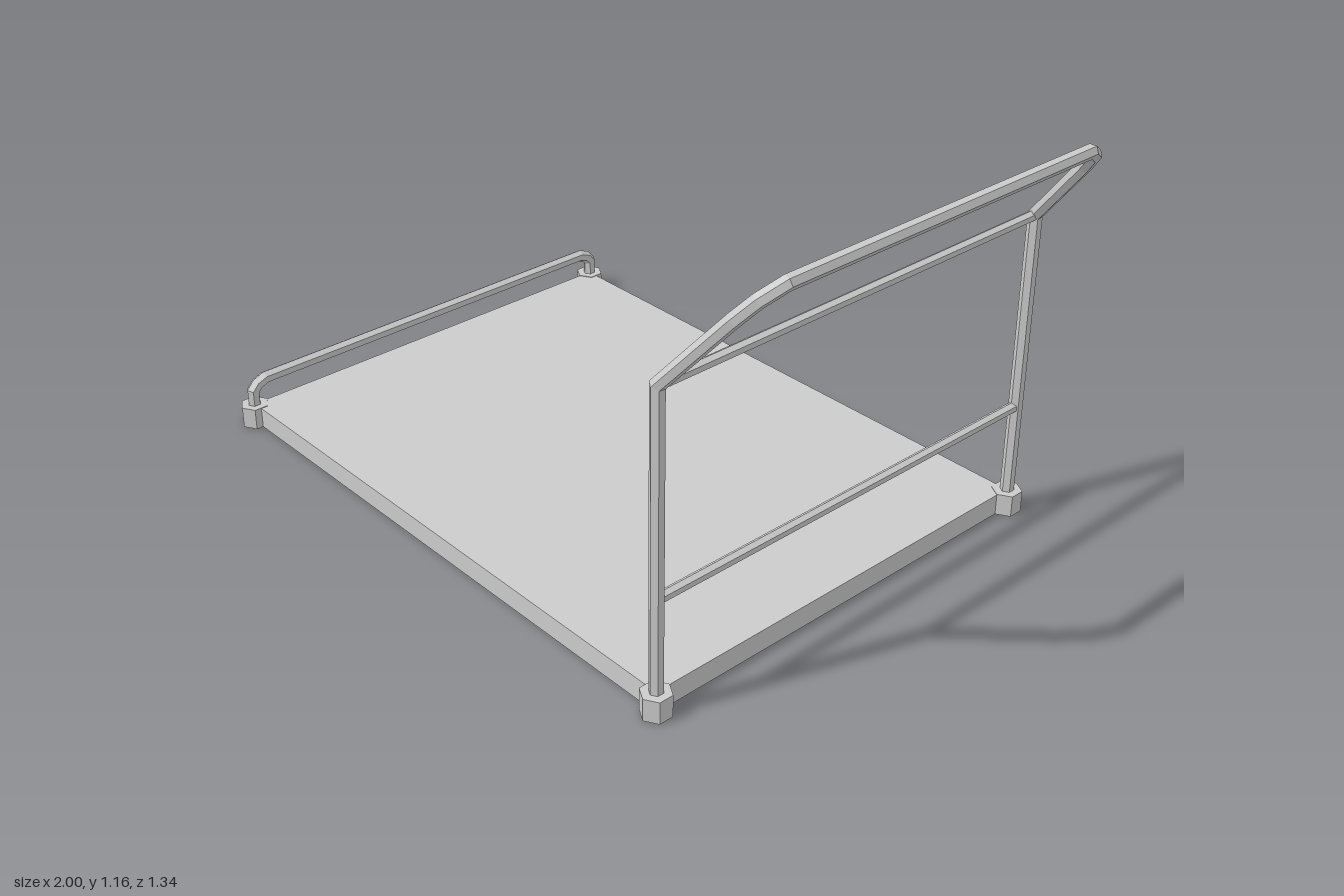
import * as THREE from 'three';

const material = new THREE.MeshStandardMaterial({ color: 0xcccccc, flatShading: true });
const SIDES = 6, REAR_X = 0.748, FRONT_X = -0.964, POST_Z = 0.627;

// Hexagonal tube along a polyline with mitred joints and closed ends.
function mitredTube(path, radius, u, v) {
  const pts = path.map((p) => new THREE.Vector3(...p));
  const dirs = pts.slice(1).map((p, i) => p.clone().sub(pts[i]).normalize());
  const pos = [], index = [];
  let ring = Array.from({ length: SIDES }, (_, k) => {
    const a = (k / SIDES) * Math.PI * 2;
    return pts[0].clone().addScaledVector(u, radius * Math.cos(a)).addScaledVector(v, radius * Math.sin(a));
  });
  pts.forEach((p, i) => {
    if (i > 0) {
      // slide the ring along the segment onto the mitre plane
      const d = dirs[i - 1];
      const n = d.clone().add(dirs[i] || d).normalize();
      ring = ring.map((q) => q.clone().addScaledVector(d, p.clone().sub(q).dot(n) / d.dot(n)));
    }
    ring.forEach((q) => pos.push(q.x, q.y, q.z));
  });
  for (let i = 0; i < dirs.length; i++) {
    for (let k = 0; k < SIDES; k++) {
      const a = i * SIDES + k, b = i * SIDES + (k + 1) % SIDES;
      index.push(a, b, b + SIDES, a, b + SIDES, a + SIDES);
    }
  }
  const end = dirs.length * SIDES;
  for (let k = 1; k < SIDES - 1; k++) index.push(0, k + 1, k, end, end + k, end + k + 1);
  const geo = new THREE.BufferGeometry();
  geo.setAttribute('position', new THREE.Float32BufferAttribute(pos, 3));
  geo.setIndex(index);
  geo.computeVertexNormals();
  return geo;
}

// Completes a half path (given at +z) with its mirror image at -z.
const mirrorPath = (half) => [...half, ...half.slice().reverse().map(([x, y, z]) => [x, y, -z])];

export function createModel() {
  const group = new THREE.Group();
  const add = (name, geometry, x = 0, y = 0, z = 0) => {
    const mesh = new THREE.Mesh(geometry, material);
    mesh.name = name;
    mesh.position.set(x, y, z);
    group.add(mesh);
  };
  const X = new THREE.Vector3(1, 0, 0), Z = new THREE.Vector3(0, 0, 1);

  // Flat platform
  add('deck', new THREE.BoxGeometry(REAR_X - FRONT_X, 0.06, 1.254), (REAR_X + FRONT_X) / 2, 0.03, 0);

  // Hexagonal corner sockets
  for (const x of [FRONT_X, REAR_X]) {
    for (const z of [-POST_Z, POST_Z]) {
      add('cornerSocket', new THREE.CylinderGeometry(0.041, 0.041, 0.062, SIDES), x, 0.031, z);
    }
  }

  // Push handle: upright posts, then a loop leaning outwards
  const lean = (y, z) => [REAR_X + (y - 0.866) * 0.825, y, z];
  const handle = [[REAR_X, 0.03, POST_Z], lean(0.866, POST_Z), lean(1.065, 0.572), lean(1.115, 0.545), lean(1.147, 0.491)];
  add('pushHandle', mitredTube(mirrorPath(handle), 0.0185, Z, X));

  // Low rail at the other end
  const rail = [[FRONT_X, 0.03, POST_Z], [FRONT_X, 0.104, POST_Z], [FRONT_X, 0.121, 0.612], [FRONT_X, 0.132, 0.586]];
  add('lowRail', mitredTube(mirrorPath(rail), 0.0185, Z, X));

  // Crossbars between the uprights
  for (const y of [0.319, 0.866]) {
    const bar = new THREE.CylinderGeometry(0.0145, 0.0145, 1.25, SIDES).rotateX(Math.PI / 2);
    add('crossbar', bar, REAR_X, y, 0);
  }
  return group;
}
